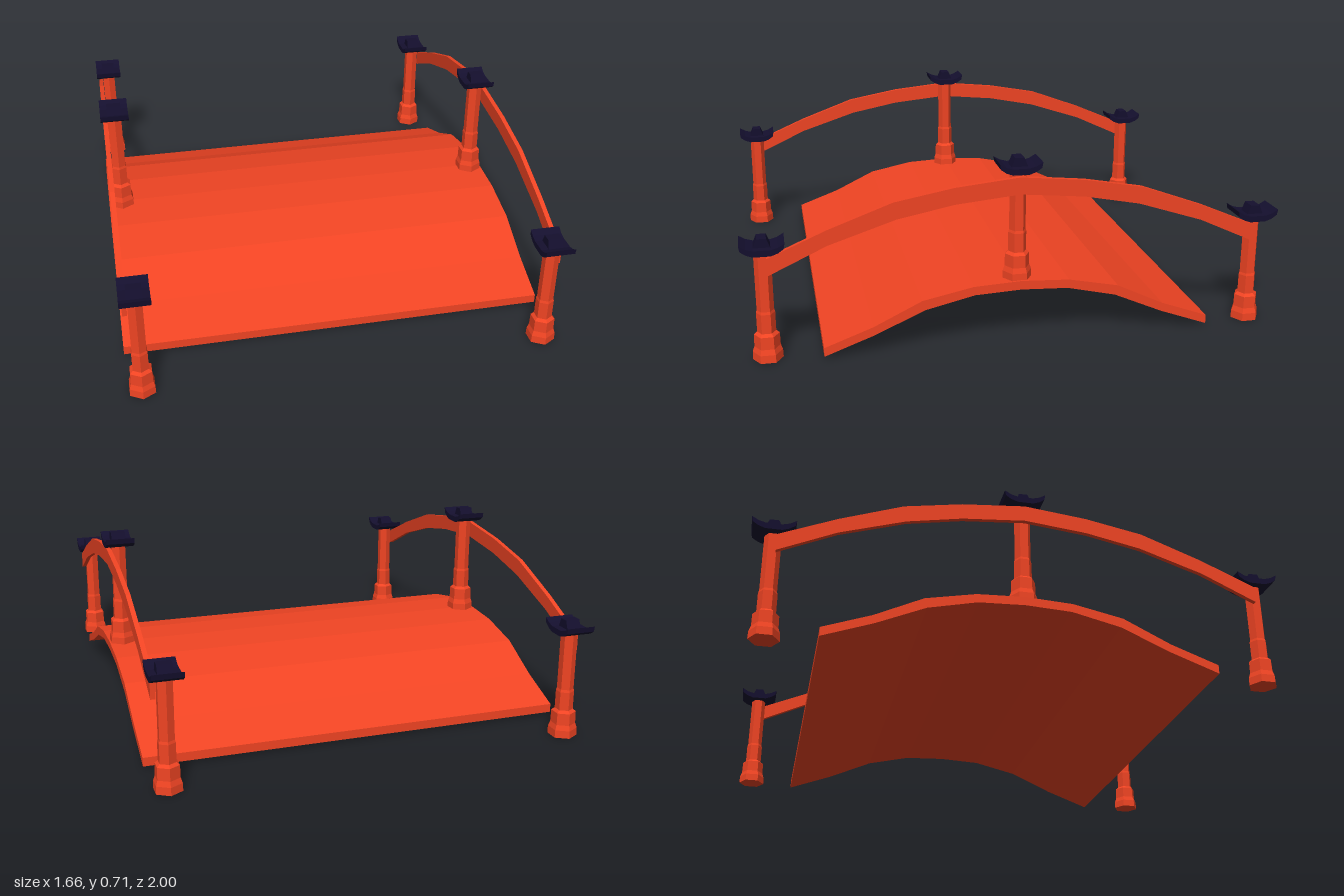
import * as THREE from 'three';

const red = new THREE.MeshStandardMaterial({ color: 0xf04423, flatShading: true });
const dark = new THREE.MeshStandardMaterial({ color: 0x140f2e, flatShading: true });

function addMesh(parent, name, geometry, material) {
  const mesh = new THREE.Mesh(geometry, material);
  mesh.name = name;
  parent.add(mesh);
  return mesh;
}

// Extrudes a mirrored side profile across x; halves list [z, y] from the centre outward.
function archGeometry(topHalf, bottomHalf, width) {
  const mirror = (half) => [...half.slice(1).reverse().map(([z, y]) => [-z, y]), ...half];
  const outline = [...mirror(bottomHalf), ...mirror(topHalf).reverse()];
  const shape = new THREE.Shape(outline.map(([z, y]) => new THREE.Vector2(z, y)));
  return new THREE.ExtrudeGeometry(shape, { depth: width, bevelEnabled: false })
    .translate(0, 0, -width / 2)
    .rotateY(Math.PI / 2);
}

// Six-sided turned part; profile lists [radius, y] from the bottom up.
function hexLathe(profile) {
  return new THREE.LatheGeometry(profile.map(([r, y]) => new THREE.Vector2(r, y)), 6);
}

function makePost() {
  const post = new THREE.Group();
  post.name = 'post';
  addMesh(post, 'postBase', hexLathe([
    [0, 0], [0.055, 0], [0.054, 0.03], [0.047, 0.05], [0.046, 0.097], [0.034, 0.107],
  ]), red);
  addMesh(post, 'postShaft', hexLathe([
    [0.034, 0.1], [0.034, 0.18], [0.031, 0.19], [0.031, 0.42], [0, 0.42],
  ]), red);
  // Upturned roof tile with a small raised ridge block
  addMesh(post, 'postCap', archGeometry(
    [[0, 0.434], [0.03, 0.434], [0.055, 0.441], [0.079, 0.455]],
    [[0, 0.411], [0.03, 0.411], [0.055, 0.42], [0.075, 0.434]],
    0.113,
  ), dark);
  addMesh(post, 'capRidge', archGeometry(
    [[0, 0.467], [0.017, 0.467]], [[0, 0.43], [0.032, 0.43]], 0.056,
  ), dark);
  return post;
}

export function createModel() {
  const bridge = new THREE.Group();
  bridge.name = 'archedBridge';

  // Curved walkway
  const deck = addMesh(bridge, 'deck', archGeometry(
    [[0, 0.245], [0.18, 0.236], [0.37, 0.197], [0.55, 0.11], [0.73, 0.044]],
    [[0, 0.211], [0.175, 0.203], [0.36, 0.16], [0.545, 0.078], [0.73, 0.01]],
    1.656,
  ), red);
  deck.position.z = -0.007;

  for (const side of [-1, 1]) {
    // Three posts per side, the middle one standing on the crown of the deck
    for (const [z, y] of [[-0.921, 0], [0, 0.24], [0.921, 0]]) {
      const post = makePost();
      post.position.set(side * 0.773, y, z);
      bridge.add(post);
    }
    // Arched handrail on the outer face of the posts
    const rail = addMesh(bridge, 'handrail', archGeometry(
      [[0, 0.64], [0.24, 0.616], [0.46, 0.576], [0.695, 0.49], [0.908, 0.398]],
      [[0, 0.576], [0.24, 0.553], [0.45, 0.512], [0.695, 0.432], [0.908, 0.333]],
      0.018,
    ), red);
    rail.position.x = side * 0.811;
  }
  return bridge;
}
